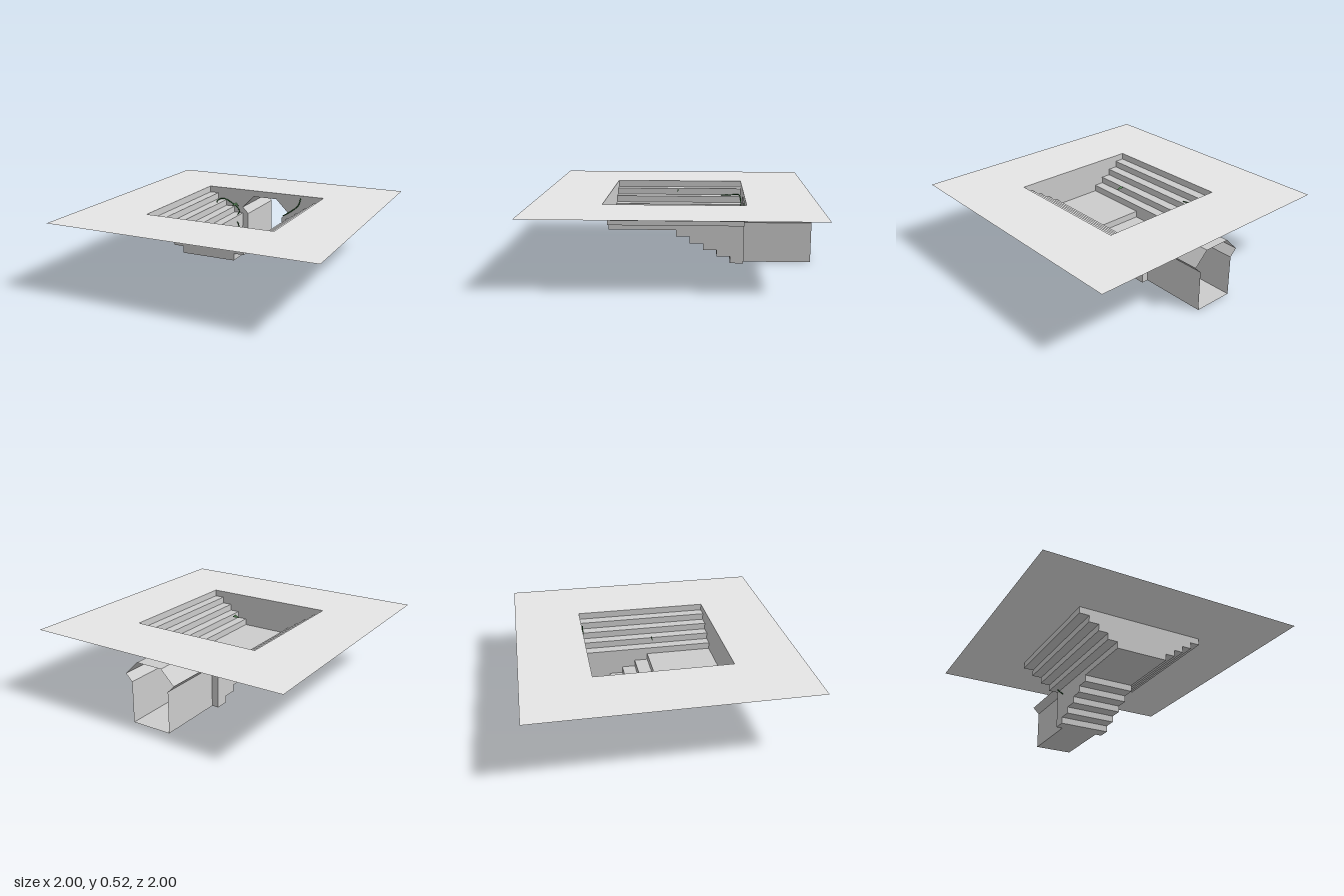
import * as THREE from 'three';

const paint = (name, color) => {
  const m = new THREE.MeshStandardMaterial({ color, side: THREE.DoubleSide });
  m.name = name;
  return m;
};

// Sheet swept from an open [u, v] profile; place(u, v, w) maps it into space
function sweep(profile, w0, w1, place) {
  const pos = [];
  for (let i = 0; i < profile.length - 1; i++) {
    const [a, b] = [profile[i], profile[i + 1]];
    const p = place(...a, w0), q = place(...b, w0), r = place(...b, w1), s = place(...a, w1);
    pos.push(...p, ...q, ...r, ...p, ...r, ...s);
  }
  const g = new THREE.BufferGeometry();
  g.setAttribute('position', new THREE.Float32BufferAttribute(pos, 3));
  g.computeVertexNormals();
  return g;
}

const alongZ = (x, y, z) => [x, y, z];
const alongX = (z, y, x) => [x, y, z];
const shapeOf = (pts) => new THREE.Shape(pts.map(([x, y]) => new THREE.Vector2(x, y)));
const mirrored = (pts) => pts.map(([x, y]) => [-x, y]).reverse();

export function createModel() {
  const model = new THREE.Group();
  model.name = 'sunkenCourt';
  const ground = paint('pale ground', 0xe6e6e6);
  const stone = paint('grey stone', 0xcccccc);
  const vineGreen = paint('dark vine green', 0x1f5a24);
  const leafGreen = paint('leaf green', 0x6fb06f);

  const add = (name, geometry, material) => {
    const mesh = new THREE.Mesh(geometry, material);
    mesh.name = name;
    model.add(mesh);
    return mesh;
  };

  // Ground sheet with a square opening
  const sheet = shapeOf([[-1, -1], [1, -1], [1, 1], [-1, 1]]);
  sheet.holes.push(shapeOf([[-0.5, -0.5], [-0.5, 0.5], [0.5, 0.5], [0.5, -0.5]]));
  add('ground', new THREE.ShapeGeometry(sheet).rotateX(-Math.PI / 2).translate(0, 0.5, 0), ground);

  // Seating terraces on both sides
  const terrace = [[0.2, 0.3]];
  for (let i = 1; i <= 4; i++) {
    const x = 0.2 + 0.075 * i, y = 0.3 + 0.05 * i;
    terrace.push([x, y - 0.05], [x, y]);
  }
  add('leftTerrace', sweep(terrace, 0.5, -0.5, alongZ), stone);
  add('rightTerrace', sweep(mirrored(terrace), 0.5, -0.5, alongZ), stone);

  // Upper floor and the stairs going down to the tunnel
  const stairs = [[0.5, 0.25], [0, 0.25]];
  for (let i = 1; i <= 5; i++) {
    const y = 0.25 - 0.05 * i;
    stairs.push([-0.1 * (i - 1), y], [-0.1 * i, y]);
  }
  add('floorAndStairs', sweep(stairs, -0.2, 0.2, alongX), stone);

  // Side walls of the stairwell
  const wall = shapeOf([...stairs, [-0.5, 0.3], [0.5, 0.3]]);
  for (const [name, x] of [['leftStairWall', 0.2], ['rightStairWall', -0.2]]) {
    add(name, new THREE.ShapeGeometry(wall).rotateY(-Math.PI / 2).translate(x, 0, 0), stone);
  }

  // Front end wall
  const front = [[0.2, 0.25], ...terrace];
  add('frontWall', new THREE.ShapeGeometry(shapeOf([...front, ...mirrored(front)])).translate(0, 0, 0.5), stone);

  // Back end wall, cut around the tunnel mouth
  const vault = [[0.15, 0], [0.15, 0.3], [0.2, 0.35], [0.1, 0.45]];
  const arch = [...vault, ...mirrored(vault)];
  const back = [[0.2, 0], ...terrace];
  const backWall = shapeOf([...back, ...mirrored(back), ...arch.slice().reverse()]);
  add('backWall', new THREE.ShapeGeometry(backWall).translate(0, 0, -0.5), stone);

  // Open tunnel with a flared vault
  add('tunnel', sweep([...arch, arch[0]], -0.5, -1, alongZ), stone);

  // Creeping vines
  const vine = (name, pts) => {
    const curve = new THREE.CatmullRomCurve3(pts.map((p) => new THREE.Vector3(...p)));
    add(name, new THREE.TubeGeometry(curve, 40, 0.004, 5), vineGreen);
  };
  vine('terraceVine', [
    [-0.36, 0.41, -0.34], [-0.395, 0.405, -0.42], [-0.38, 0.41, -0.48], [-0.34, 0.4, -0.492],
    [-0.23, 0.33, -0.488], [-0.215, 0.31, -0.46], [-0.23, 0.28, -0.42], [-0.172, 0.22, -0.37],
    [-0.155, 0.12, -0.22],
  ]);
  vine('wallVine', [
    [0.165, 0.32, -0.49], [0.24, 0.37, -0.49], [0.295, 0.42, -0.49], [0.315, 0.48, -0.49],
  ]);

  // Small leaf, folded along its middle
  const leaf = sweep([[-0.055, -0.01], [-0.025, 0.005], [0.002, -0.01]], 0, 1,
    (x, fold, w) => [x, 0.5 + fold * 0.3 + (fold > 0 ? 0.023 : 0.004) * w, fold > 0 ? -0.008 : 0]);
  add('leaf', leaf, leafGreen);
  return model;
}
